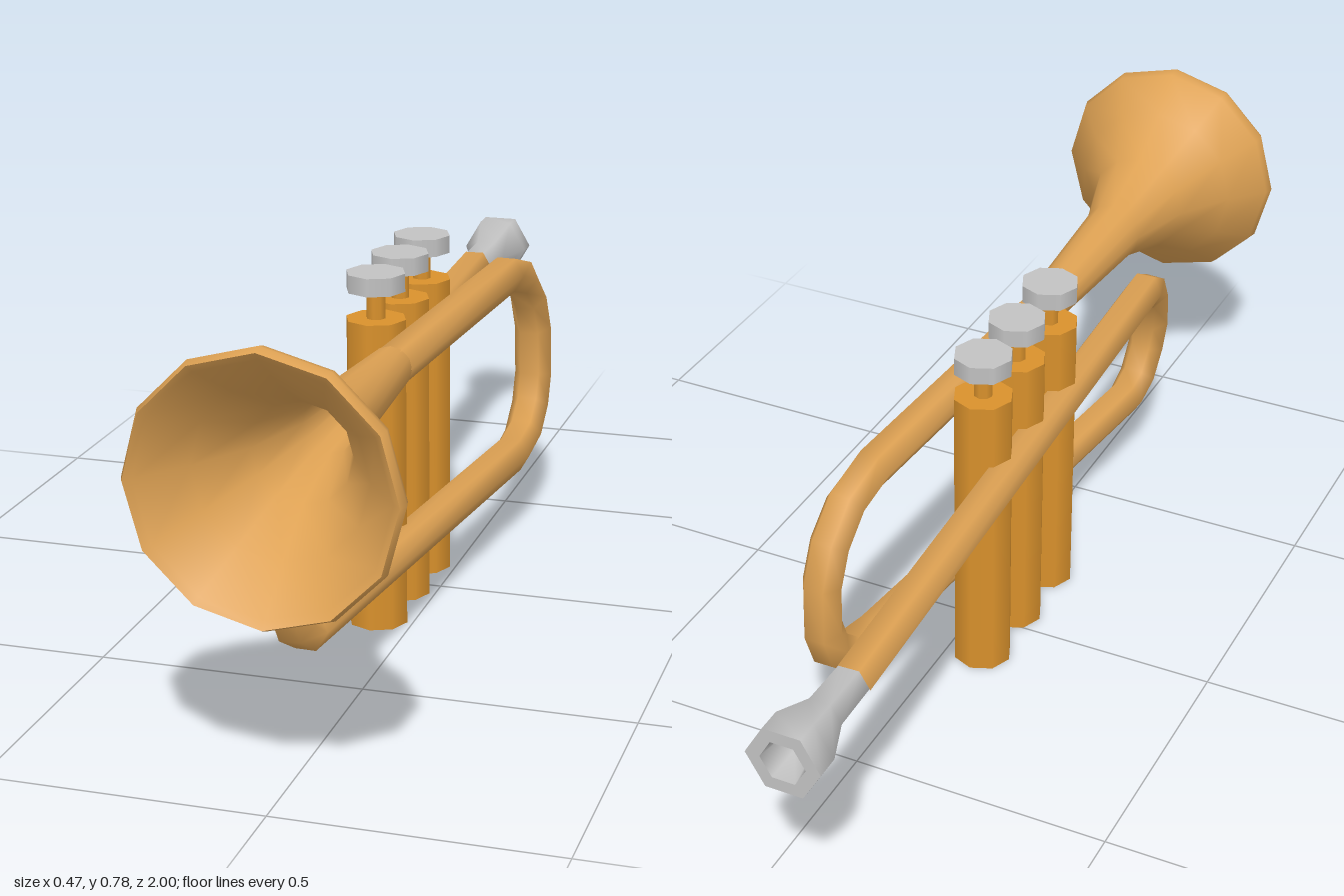
import * as THREE from 'three';
import { toCreasedNormals } from 'three/addons/utils/BufferGeometryUtils.js';

const brass = new THREE.MeshStandardMaterial({ name: 'brass', color: 0xdda153 });
const valveBrass = new THREE.MeshStandardMaterial({ name: 'valveBrass', color: 0xd9912c });
const silver = new THREE.MeshStandardMaterial({ name: 'silver', color: 0xc2c2c2 });

function add(group, name, geometry, material, x = 0, y = 0, z = 0) {
  const mesh = new THREE.Mesh(geometry, material);
  mesh.name = name;
  mesh.position.set(x, y, z);
  group.add(mesh);
  return mesh;
}

// Turned part lying along z; the profile holds [radius, z] pairs
function turned(profile, sides) {
  const points = profile.map(([r, z]) => new THREE.Vector2(r, z));
  const geometry = new THREE.LatheGeometry(points, sides, Math.PI / 2);
  geometry.rotateX(Math.PI / 2);
  return toCreasedNormals(geometry, 1.1);
}

// Smooth six-sided pipe swept along points, keeping one corner towards +x
function pipe(path, radius) {
  const sides = 6;
  const points = path.map((p) => new THREE.Vector3(...p));
  const positions = [];
  const index = [];
  points.forEach((p, i) => {
    const before = p.clone().sub(points[Math.max(i - 1, 0)]).normalize();
    const after = points[Math.min(i + 1, points.length - 1)].clone().sub(p).normalize();
    const tangent = before.add(after).normalize();
    const across = new THREE.Vector3(1, 0, 0).addScaledVector(tangent, -tangent.x).normalize();
    const up = new THREE.Vector3().crossVectors(tangent, across);
    for (let s = 0; s < sides; s++) {
      const a = (s / sides) * Math.PI * 2;
      const v = p.clone()
        .addScaledVector(across, Math.cos(a) * radius)
        .addScaledVector(up, Math.sin(a) * radius);
      positions.push(v.x, v.y, v.z);
      if (i === 0) continue;
      const n = (s + 1) % sides;
      const lo = (i - 1) * sides, hi = i * sides;
      index.push(lo + s, lo + n, hi + s, lo + n, hi + n, hi + s);
    }
  });
  const geometry = new THREE.BufferGeometry();
  geometry.setAttribute('position', new THREE.Float32BufferAttribute(positions, 3));
  geometry.setIndex(index);
  geometry.computeVertexNormals();
  return geometry;
}

export function createModel() {
  const model = new THREE.Group();
  model.name = 'trumpet';

  // Flared bell with a rolled rim and hollow inside
  add(model, 'bell', turned([
    [0.04, 0.32], [0.06, 0.66], [0.102, 0.8], [0.167, 0.9], [0.228, 0.965],
    [0.233, 0.985], [0.226, 1], [0.213, 0.99],
    [0.15, 0.905], [0.088, 0.8], [0.048, 0.66], [0.025, 0.4], [0, 0.4],
  ], 12), brass, 0, 0.546, 0);

  // One continuous pipe: bell, rear bend, bottom run, front bend, lead pipe
  add(model, 'mainPipe', pipe([
    [0, 0.547, 0.35],
    [0.038, 0.548, -0.342], [0.046, 0.521, -0.427], [0.051, 0.466, -0.48],
    [0.055, 0.395, -0.505], [0.057, 0.294, -0.505], [0.057, 0.234, -0.481],
    [0.056, 0.186, -0.427], [0.053, 0.166, -0.34],
    [-0.053, 0.166, 0.64], [-0.058, 0.197, 0.69], [-0.063, 0.258, 0.72],
    [-0.07, 0.322, 0.724], [-0.08, 0.408, 0.69], [-0.086, 0.438, 0.635],
    [-0.148, 0.438, -0.78],
  ], 0.039), brass);

  // Mouthpiece with a hollow cup
  add(model, 'mouthpiece', turned([
    [0, -0.93], [0.03, -0.935], [0.042, -1], [0.069, -1], [0.069, -0.955],
    [0.039, -0.875], [0.037, -0.77], [0, -0.77],
  ], 6), silver, -0.147, 0.438, 0);

  // Three valves, each with a stem and finger button
  [0.19, 0.041, -0.103].forEach((z, i) => {
    const valve = new THREE.Group();
    valve.name = 'valve' + (i + 1);
    valve.position.set(-0.068, 0, z);
    add(valve, 'casing', new THREE.CylinderGeometry(0.057, 0.057, 0.597, 8), valveBrass, 0, 0.2985, 0);
    add(valve, 'stem', new THREE.CylinderGeometry(0.018, 0.018, 0.07, 8), valveBrass, 0, 0.625, 0);
    add(valve, 'button', new THREE.CylinderGeometry(0.056, 0.056, 0.034, 8), silver, 0, 0.667, 0);
    model.add(valve);
  });

  return model;
}
